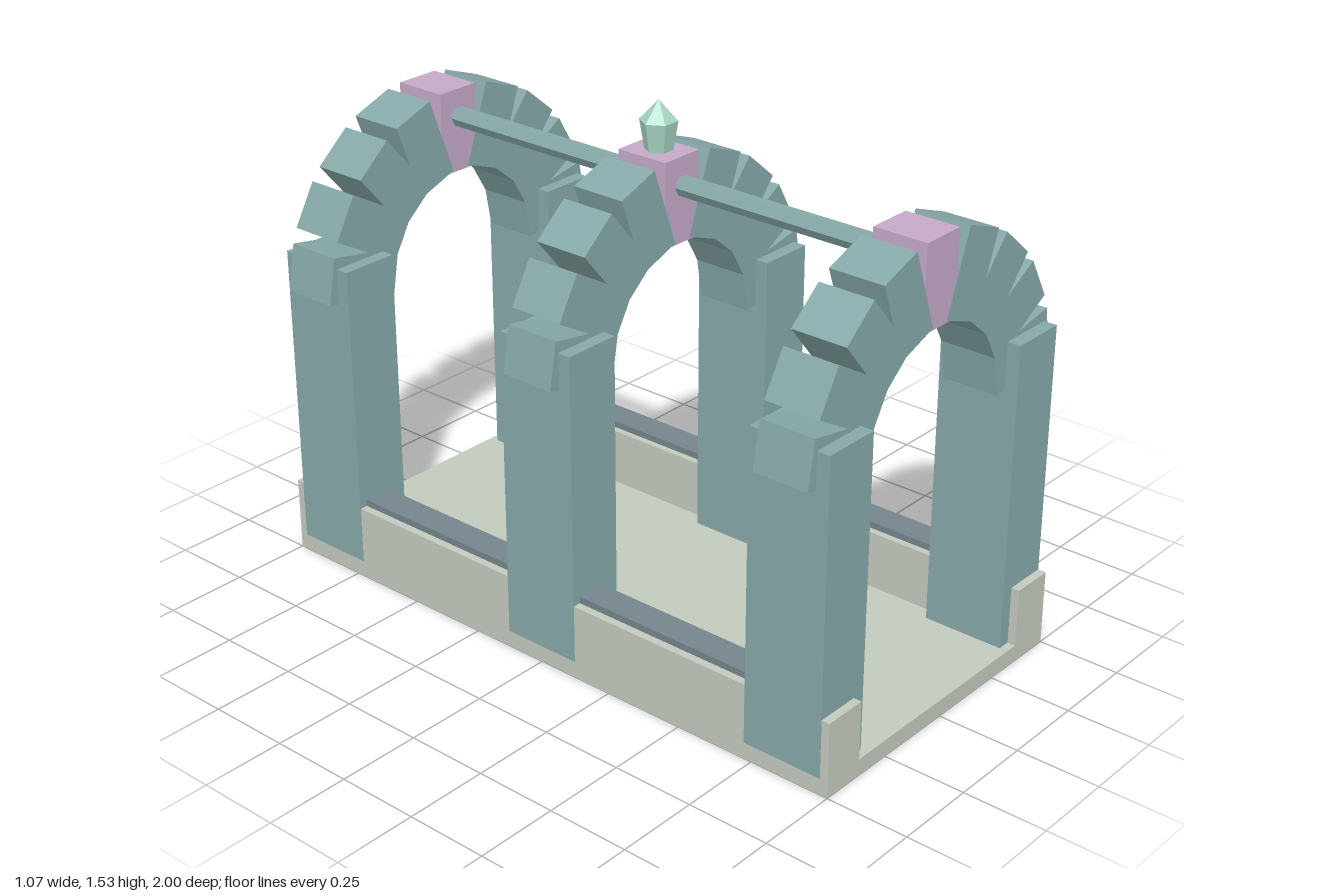
import * as THREE from 'three';

const mat = (name, color) => {
  const m = new THREE.MeshStandardMaterial({ color });
  m.name = name;
  return m;
};

// Faceted normals for the low-poly round parts
const faceted = (geometry) => {
  const g = geometry.toNonIndexed();
  g.computeVertexNormals();
  return g;
};

export function createModel() {
  const paleStone = mat('paleStone', 0xc2cabc);
  const tealStone = mat('tealStone', 0x86a8a8);
  const slate = mat('slate', 0x74858c);
  const mauve = mat('mauve', 0xc5a9c8);
  const crystal = mat('crystal', 0xa6d6c2);

  const model = new THREE.Group();
  model.name = 'archedWalkway';

  const add = (parent, name, geometry, material, x = 0, y = 0, z = 0) => {
    const mesh = new THREE.Mesh(geometry, material);
    mesh.name = name;
    mesh.position.set(x, y, z);
    parent.add(mesh);
    return mesh;
  };

  // Box given by its lower and upper corners
  const block = (parent, name, material, [x0, y0, z0], [x1, y1, z1]) =>
    add(parent, name, new THREE.BoxGeometry(x1 - x0, y1 - y0, z1 - z0), material,
      (x0 + x1) / 2, (y0 + y1) / 2, (z0 + z1) / 2);

  // Floor with a low capped wall along each side
  block(model, 'floor', paleStone, [-0.5, 0, -1], [0.5, 0.05, 1]);
  for (const s of [-1, 1]) {
    const side = s > 0 ? 'left' : 'right';
    const wall = add(model, side + 'Wall', new THREE.BoxGeometry(0.135, 0.177, 2), paleStone, s * 0.4325, 0.1385, 0);
    wall.castShadow = false;
    add(model, side + 'WallCap', new THREE.BoxGeometry(0.09, 0.02, 1.7), slate, s * 0.431, 0.237, 0);
  }

  // Three arches: two pillars, eight fanned blocks and a keystone each
  const springY = 0.855, inner = 0.28, outer = 0.53, width = 0.14, depth = 0.17;
  const stone = new THREE.BoxGeometry(width, outer - inner, depth);
  const middle = (inner + outer) / 2;
  [['frontArch', 0.85], ['middleArch', 0], ['backArch', -0.85]].forEach(([name, z]) => {
    const arch = new THREE.Group();
    arch.name = name;
    arch.position.z = z;
    model.add(arch);
    for (const s of [-1, 1]) {
      add(arch, 'pillar', new THREE.BoxGeometry(0.176, 0.93, 0.25), tealStone, s * 0.413, 0.515, 0);
      for (let k = 1; k <= 4; k++) {
        const a = s * k * Math.PI / 9;
        const b = add(arch, 'archBlock', stone, tealStone,
          middle * Math.sin(a), springY + middle * Math.cos(a), 0);
        b.rotation.z = -a;
      }
    }
    // Slightly shallower so the neighbouring blocks overlap it cleanly
    add(arch, 'keystone', new THREE.BoxGeometry(width, outer - inner, depth - 0.003), mauve, 0, springY + middle, 0);
  });

  // Six-sided ridge beam joining the keystones
  const beam = new THREE.CylinderGeometry(0.03, 0.03, 1.7, 6);
  beam.rotateY(Math.PI / 2).rotateX(Math.PI / 2);
  add(model, 'ridgeBeam', faceted(beam), tealStone, 0, 1.302, 0);

  // Crystal finial on the middle keystone
  const finial = new THREE.Group();
  finial.name = 'finial';
  finial.position.y = springY + outer;
  model.add(finial);
  const body = new THREE.CylinderGeometry(0.054, 0.04, 0.084, 6).rotateY(Math.PI / 2);
  const tip = new THREE.ConeGeometry(0.054, 0.058, 6, 1, true).rotateY(Math.PI / 2);
  add(finial, 'finialBody', faceted(body), crystal, 0, 0.042, 0);
  add(finial, 'finialTip', faceted(tip), crystal, 0, 0.113, 0);

  return model;
}
